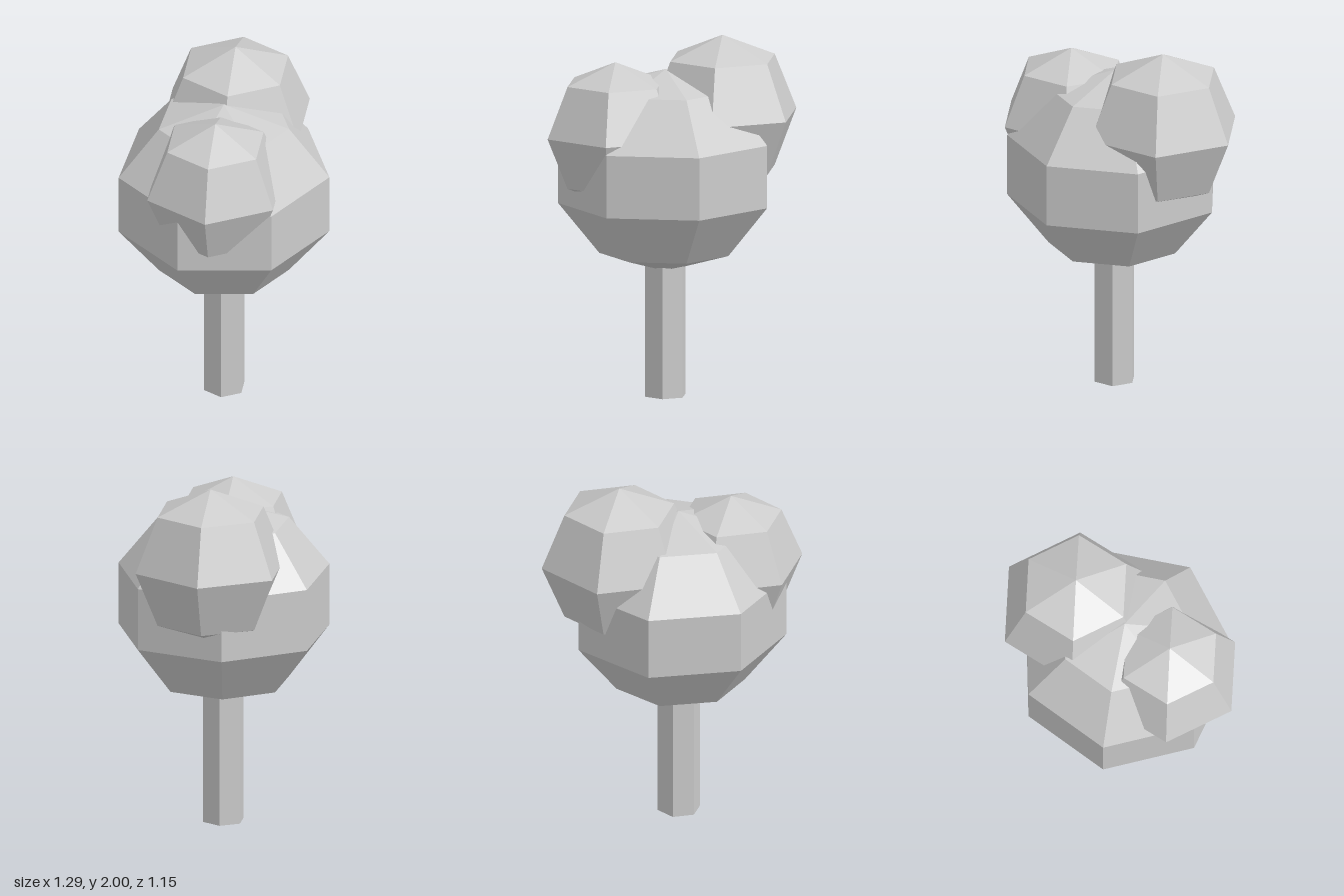
import * as THREE from 'three';

export function createModel() {
  const group = new THREE.Group();
  const material = new THREE.MeshStandardMaterial({ color: 0xcccccc, flatShading: true });

  function add(name, geometry, x, y, z) {
    const mesh = new THREE.Mesh(geometry, material);
    mesh.name = name;
    mesh.position.set(x, y, z);
    group.add(mesh);
    return mesh;
  }

  // Low-poly foliage ball with one corner of each ring pointing to the back
  function foliage(name, radius, sides, rings, x, y, z) {
    const ball = new THREE.SphereGeometry(radius, sides, rings, -Math.PI / 2);
    return add(name, ball, x, y, z);
  }

  // Six-sided trunk, its top sunk into the crown
  const trunkHeight = 0.8;
  add('trunk', new THREE.CylinderGeometry(0.12, 0.12, trunkHeight, 6), -0.037, trunkHeight / 2, 0.025);

  // Slightly flattened seven-sided main crown
  foliage('mainCrown', 0.626, 7, 5, -0.035, 1.263, 0.021).scale.y = 0.905;

  // Two smaller clumps growing out of the crown
  foliage('leftClump', 0.44, 6, 4, 0.26, 1.56, -0.13);
  foliage('rightClump', 0.404, 6, 4, -0.295, 1.485, 0.167);

  return group;
}
